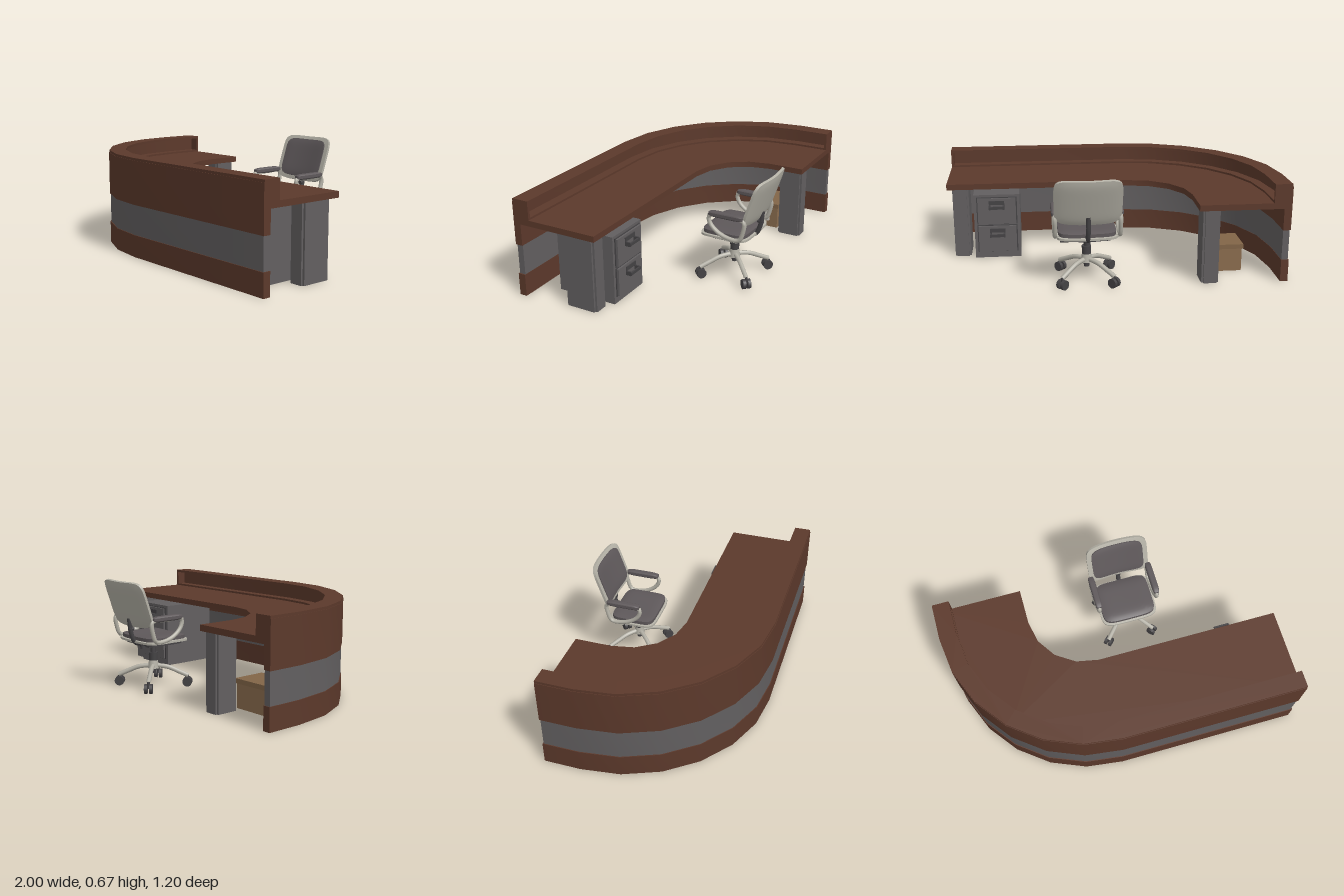
import * as THREE from 'three';
import { toCreasedNormals } from 'three/addons/utils/BufferGeometryUtils.js';

const mat = (name, color) => {
  const m = new THREE.MeshStandardMaterial({ color });
  m.name = name;
  return m;
};

export function createModel() {
  const wood = mat('brown wood', 0x5c392b);
  const grey = mat('grey laminate', 0x625f60);
  const fabric = mat('chair fabric', 0x5e585a);
  const dark = mat('dark plastic', 0x454345);
  const light = mat('light plastic', 0xb4b1a6);
  const card = mat('cardboard', 0x8a6c4e);
  const cardLid = mat('cardboard lid', 0x826547);
  const paper = mat('paper label', 0xd0ccc2);

  const model = new THREE.Group();
  const group = (name, parent = model) => {
    const g = new THREE.Group();
    g.name = name;
    parent.add(g);
    return g;
  };
  const add = (parent, name, geo, material, x = 0, y = 0, z = 0) => {
    const m = new THREE.Mesh(geo, material);
    m.name = name;
    m.position.set(x, y, z);
    parent.add(m);
    return m;
  };
  // Box given by its two extreme corners
  const block = (parent, name, material, x0, x1, y0, y1, z0, z1) =>
    add(parent, name, new THREE.BoxGeometry(x1 - x0, y1 - y0, z1 - z0), material,
      (x0 + x1) / 2, (y0 + y1) / 2, (z0 + z1) / 2);

  // ---- Curved counter: straight run, quarter turn, short arm ----
  const CX = -0.115, CZ = -0.29;
  const path = (r, segs, endX, endZ) => {
    const p = [[endX, CZ + r]];
    for (let i = 0; i <= segs; i++) {
      const a = (i / segs) * Math.PI / 2;
      p.push([CX - r * Math.sin(a), CZ + r * Math.cos(a)]);
    }
    p.push([CX - r, endZ]);
    return p.map(([x, z]) => new THREE.Vector2(x, z));
  };
  const counter = group('receptionCounter');
  const band = (name, material, rOut, rIn, y0, y1, segIn = 6, endX = 1, endZ = -0.51) => {
    const shape = new THREE.Shape([...path(rOut, 6, endX, endZ), ...path(rIn, segIn, endX, endZ).reverse()]);
    let geo = new THREE.ExtrudeGeometry(shape, { depth: y1 - y0, bevelEnabled: false });
    geo = toCreasedNormals(geo.rotateX(Math.PI / 2), 0.5);
    add(counter, name, geo, material, 0, y1, 0);
  };
  band('basePanel', wood, 0.885, 0.84, 0, 0.133);
  band('middlePanel', grey, 0.88, 0.842, 0.133, 0.315, 6, 0.993, -0.505);
  band('upperPanel', wood, 0.885, 0.84, 0.315, 0.577);
  band('deskTop', wood, 0.84, 0.35, 0.445, 0.48, 4);
  band('ledgeTop', wood, 0.882, 0.78, 0.577, 0.592);
  band('shelfFloor', wood, 0.84, 0.78, 0.48, 0.492);
  block(counter, 'ledgeEndRight', wood, 0.985, 1, 0.48, 0.577, 0.49, 0.56);
  block(counter, 'ledgeEndLeft', wood, -0.96, -0.895, 0.48, 0.577, -0.51, -0.495);

  // ---- Desk legs: core with raised panels on the broad sides ----
  const leg = (name, x0, x1, z0, z1) => {
    const g = group(name);
    block(g, 'legCore', grey, x0 + 0.012, x1 - 0.012, 0, 0.445, z0, z1);
    block(g, 'legPanel', grey, x0, x1, 0, 0.445, z0 + 0.012, z1 - 0.012);
  };
  leg('rightDeskLeg', 0.87, 0.97, 0.09, 0.29);
  leg('armDeskLeg', -0.59, -0.49, -0.5, -0.35);

  // ---- Drawer cabinet ----
  const cabinet = group('drawerCabinet');
  block(cabinet, 'cabinetBody', grey, 0.555, 0.84, 0, 0.41, 0.055, 0.43);
  for (const y of [0.045, 0.225]) {
    block(cabinet, 'drawerShadowGap', dark, 0.573, 0.822, y - 0.005, y + 0.17, 0.05, 0.056);
    block(cabinet, 'drawerFront', grey, 0.58, 0.815, y, y + 0.165, 0.038, 0.055);
    block(cabinet, 'labelHolder', dark, 0.65, 0.745, y + 0.125, y + 0.15, 0.033, 0.039);
    block(cabinet, 'handleBar', dark, 0.65, 0.745, y + 0.105, y + 0.122, 0, 0.01);
    for (const x of [0.65, 0.735])
      block(cabinet, 'handlePost', dark, x, x + 0.01, y + 0.1, y + 0.125, 0.005, 0.04);
  }

  // ---- Storage box ----
  const box = group('storageBox');
  block(box, 'boxBody', card, -0.77, -0.55, 0, 0.145, -0.318, -0.13);
  block(box, 'boxLid', cardLid, -0.777, -0.543, 0.142, 0.17, -0.325, -0.122);
  block(box, 'boxLabel', paper, -0.551, -0.547, 0.04, 0.115, -0.262, -0.205);
  block(box, 'boxFlap', cardLid, -0.551, -0.545, 0.118, 0.143, -0.265, -0.183);

  // ---- Office chair, facing +z ----
  const chair = group('officeChair');
  chair.position.set(0.17, 0, -0.355);
  // Rounded slab facing +z, thinner at the rim, with its sides bent forward
  const pad = (w, h, d, bend = 0, thin = 0.5) => {
    const geo = new THREE.BoxGeometry(2, 2, 2, 16, 16, 2);
    const p = geo.attributes.position;
    for (let i = 0; i < p.count; i++) {
      let u = p.getX(i), v = p.getY(i);
      const m = Math.max(Math.abs(u), Math.abs(v));
      const n = Math.pow(Math.abs(u) ** 6 + Math.abs(v) ** 6, 1 / 6);
      const k = n > 0 ? m / n : 1;
      u *= k; v *= k;
      p.setXYZ(i, u * w / 2, v * h / 2, p.getZ(i) * d / 2 * (1 - thin * m ** 6) + bend * u * u);
    }
    geo.computeVertexNormals();
    return geo;
  };
  add(chair, 'seatPan', pad(0.36, 0.3, 0.025, 0.005).rotateX(-Math.PI / 2), light, 0, 0.292, 0.005);
  add(chair, 'seatUnderside', pad(0.3, 0.25, 0.02).rotateX(-Math.PI / 2), dark, 0, 0.279, 0.005);
  add(chair, 'seatCushion', pad(0.335, 0.275, 0.045, 0.005).rotateX(-Math.PI / 2), fabric, 0, 0.31, 0.005);

  const back = group('backrest', chair);
  back.position.set(0, 0.525, -0.195);
  back.rotation.x = -0.33;
  add(back, 'backShell', pad(0.385, 0.29, 0.03, 0.022), light);
  add(back, 'backCushion', pad(0.325, 0.245, 0.024, 0.016), fabric, 0, 0, 0.012);

  const tube = (points, r, closed = false) => new THREE.TubeGeometry(
    new THREE.CatmullRomCurve3(points.map(q => new THREE.Vector3(...q)), closed), 28, r, 8, closed);
  for (const s of [-1, 1]) {
    const arm = group(s > 0 ? 'leftArmrest' : 'rightArmrest', chair);
    arm.position.x = s * 0.186;
    add(arm, 'armLoop', tube([[0, 0.432, 0.075], [0, 0.385, 0.07], [0, 0.335, 0.02], [0, 0.308, -0.06],
      [0, 0.312, -0.115], [0, 0.36, -0.137], [0, 0.43, -0.142], [0, 0.436, -0.03]], 0.013, true), light);
    add(arm, 'armPad', pad(0.04, 0.215, 0.034).rotateX(-Math.PI / 2), fabric, 0, 0.446, -0.032);
    const brace = add(arm, 'armBrace', new THREE.BoxGeometry(0.06, 0.018, 0.07), light, -s * 0.025, 0.298, -0.07);
    brace.rotation.z = s * 0.15;
  }
  // Tilt mechanism, lever and gas column
  block(chair, 'tiltMechanism', dark, -0.05, 0.05, 0.252, 0.275, -0.07, 0.07);
  const lever = add(chair, 'tiltLever', new THREE.CylinderGeometry(0.008, 0.008, 0.13, 10), dark, 0.09, 0.265, -0.07);
  lever.rotation.z = Math.PI / 2;
  add(chair, 'tiltKnob', new THREE.CylinderGeometry(0.018, 0.018, 0.04, 12), dark, 0, 0.26, -0.075);
  add(chair, 'backKnob', new THREE.CylinderGeometry(0.013, 0.013, 0.03, 12).rotateX(Math.PI / 2), dark, 0, 0.372, -0.16);
  add(chair, 'backStem', tube([[0, 0.275, -0.05], [0, 0.285, -0.13], [0, 0.34, -0.16], [0, 0.44, -0.175]], 0.014), dark);
  add(chair, 'columnUpper', new THREE.CylinderGeometry(0.016, 0.016, 0.07, 16), dark, 0, 0.235, 0);
  add(chair, 'columnSleeve', new THREE.CylinderGeometry(0.028, 0.026, 0.05, 16), dark, 0, 0.185, 0);
  add(chair, 'baseHub', new THREE.CylinderGeometry(0.027, 0.034, 0.05, 16), light, 0, 0.135, 0);
  add(chair, 'columnFoot', new THREE.CylinderGeometry(0.018, 0.016, 0.035, 12), dark, 0, 0.098, 0);

  // Four arched legs with twin-wheel casters
  for (let i = 0; i < 4; i++) {
    const foot = group('baseLeg', chair);
    foot.rotation.y = Math.PI / 4 + i * Math.PI / 2;
    add(foot, 'legArch', tube([[0.015, 0.128, 0], [0.09, 0.118, 0], [0.16, 0.09, 0], [0.215, 0.066, 0]], 0.014), light);
    add(foot, 'casterStem', new THREE.CylinderGeometry(0.008, 0.008, 0.04, 8), dark, 0.21, 0.05, 0);
    for (const s of [-1, 1])
      add(foot, 'casterWheel', new THREE.CylinderGeometry(0.029, 0.029, 0.018, 16).rotateX(Math.PI / 2),
        dark, 0.21, 0.029, s * 0.015);
  }
  return model;
}
